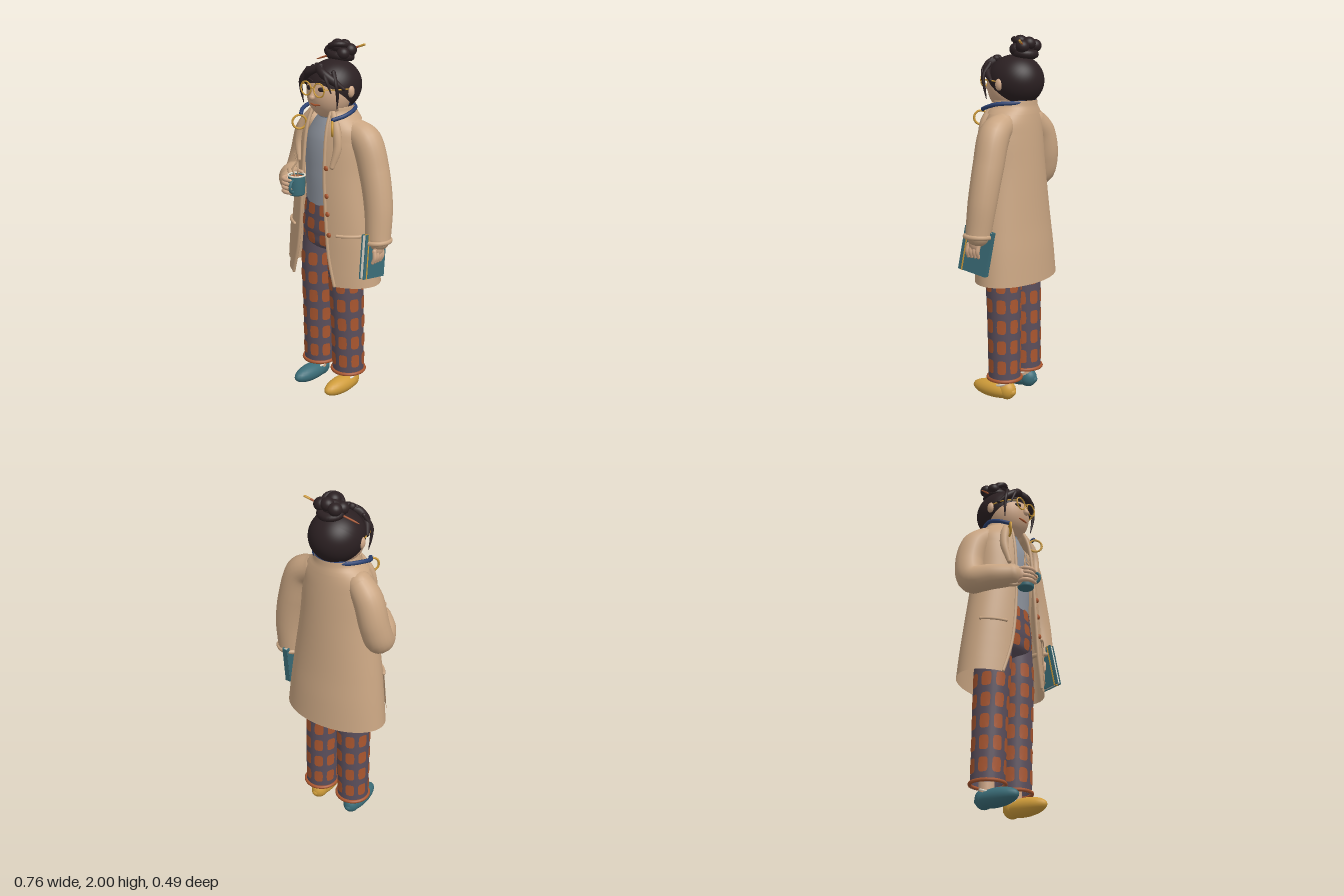
import * as THREE from 'three';
import { mergeGeometries } from 'three/addons/utils/BufferGeometryUtils.js';
import { ParametricGeometry } from 'three/addons/geometries/ParametricGeometry.js';

const mat = (name, color, side = THREE.FrontSide) => {
  const m = new THREE.MeshStandardMaterial({ color, side });
  m.name = name;
  return m;
};
const V = (p) => new THREE.Vector3(p[0], p[1], p[2]);
const CX = -0.04; // body axis

// Elliptical body surface through rows of [y, centreX, centreZ, radiusX, radiusZ, ...extras]
function body(rows) {
  const n = rows[0].length - 1;
  const it = new THREE.CubicInterpolant(new Float32Array(rows.map((r) => r[0])),
    new Float32Array(rows.flatMap((r) => r.slice(1))), n);
  const at = (y) => Array.from(it.evaluate(y));
  const point = (a, y, off = 0, t = new THREE.Vector3()) => {
    const [cx, cz, rx, rz] = at(y);
    return t.set(cx + Math.sin(a) * (rx + off), y, cz + Math.cos(a) * (rz + off));
  };
  return { at, point, y0: rows[0][0], y1: rows[rows.length - 1][0] };
}
// Sheet on a body surface between two angle functions of y
const sheet = (b, a0, a1, y0, y1, off, nu, nv) => new ParametricGeometry((u, v, t) => {
  const y = y0 + (y1 - y0) * v;
  b.point(a0(y) + (a1(y) - a0(y)) * u, y, off, t);
}, nu, nv);
const tubeOf = (b, nu = 32, nv = 24) => sheet(b, () => -Math.PI, () => Math.PI, b.y0, b.y1, 0, nu, nv);

// Rounded limb through [x, y, z, radius] points
function limb(pts, seg = 20, sides = 14) {
  const curve = new THREE.CatmullRomCurve3(pts.map(V));
  const g = new THREE.TubeGeometry(curve, seg, 1, sides);
  const pos = g.attributes.position, p = new THREE.Vector3();
  for (let i = 0; i <= seg; i++) {
    const c = curve.getPointAt(i / seg);
    const t = curve.getUtoTmapping(i / seg) * (pts.length - 1);
    const k = Math.min(Math.floor(t), pts.length - 2);
    const r = THREE.MathUtils.lerp(pts[k][3], pts[k + 1][3], t - k);
    for (let j = 0; j <= sides; j++) {
      const id = i * (sides + 1) + j;
      p.fromBufferAttribute(pos, id).sub(c).multiplyScalar(r).add(c);
      pos.setXYZ(id, p.x, p.y, p.z);
    }
  }
  const ends = [pts[0], pts[pts.length - 1]].map((e) =>
    new THREE.SphereGeometry(e[3], sides, 8).translate(e[0], e[1], e[2]));
  return mergeGeometries([g, ...ends]);
}
const ball = (rx, ry, rz, w = 24, h = 16) => new THREE.SphereGeometry(1, w, h).scale(rx, ry, rz);

// Rounded-square checks laid over a body surface
function checks(b, ys, cols, ha, hy) {
  const list = [], sq = (v) => Math.sign(v) * Math.sqrt(Math.abs(v));
  for (const y of ys) for (let c = 0; c < cols; c++) {
    const g = new THREE.CircleGeometry(1, 16), pos = g.attributes.position;
    for (let i = 0; i < pos.count; i++) {
      const p = b.point(((c + 0.5) / cols) * 2 * Math.PI + sq(pos.getX(i)) * ha, y + sq(pos.getY(i)) * hy, 0.003);
      pos.setXYZ(i, p.x, p.y, p.z);
    }
    g.computeVertexNormals();
    list.push(g);
  }
  return mergeGeometries(list);
}

export function createModel() {
  const D = THREE.DoubleSide;
  const coatM = mat('coat tan', 0xc9a582, D), skin = mat('skin', 0xd0a888), hairM = mat('dark hair', 0x2b2022, D);
  const grey = mat('shirt grey', 0x8e949e), rust = mat('rust', 0xa9562f), plum = mat('plum', 0x5b4f5c, D);
  const teal = mat('teal', 0x3b6d78, D), mustard = mat('mustard', 0xcf9c3a), navy = mat('navy', 0x2c4272);
  const cream = mat('cream', 0xe9e2d2);
  const root = new THREE.Group();
  const add = (name, geo, m, pos = [0, 0, 0], rot = [0, 0, 0], parent = root) => {
    const mesh = new THREE.Mesh(geo, m);
    mesh.name = name;
    mesh.position.set(...pos);
    mesh.rotation.set(...rot);
    parent.add(mesh);
    return mesh;
  };

  // Trousers, cuffs, ankles and odd-coloured shoes
  for (const s of [-1, 1]) {
    const x = (d) => CX + s * d;
    const leg = body([[0.12, x(0.111), -0.055, 0.09, 0.088], [0.5, x(0.106), -0.048, 0.093, 0.094],
      [0.75, x(0.1), -0.04, 0.097, 0.1], [0.96, x(0.085), -0.04, 0.09, 0.1]]);
    add('trouserLeg', tubeOf(leg), plum);
    add('legChecks', checks(leg, [0.21, 0.325, 0.44, 0.555, 0.67, 0.785], 8, 0.27, 0.039), rust);
    add('trouserCuff', new THREE.TorusGeometry(0.092, 0.01, 8, 32), rust, [x(0.111), 0.13, -0.055], [Math.PI / 2, 0, 0]);
    add('ankle', new THREE.CylinderGeometry(0.04, 0.042, 0.16, 16), skin, [x(0.113), 0.14, -0.06]);
    const shoe = s < 0 ? teal : mustard;
    add('shoe', ball(0.053, 0.05, 0.138), shoe, [x(0.117), 0.05, 0.007]);
    add('shoeHeel', ball(0.046, 0.055, 0.055), shoe, [x(0.115), 0.056, -0.07]);
    add('shoeTrim', new THREE.TorusGeometry(0.042, 0.006, 6, 24), cream, [x(0.114), 0.09, -0.05], [Math.PI / 2 + 0.35, 0, 0]);
  }
  const hips = body([[0.84, CX, -0.045, 0.05, 0.03], [0.87, CX, -0.04, 0.14, 0.095], [0.95, CX, -0.04, 0.185, 0.122],
    [1.05, CX, -0.04, 0.175, 0.122], [1.15, CX, -0.04, 0.158, 0.115]]);
  add('hips', tubeOf(hips), plum);
  add('hipChecks', checks(hips, [0.925, 1.01, 1.095], 12, 0.17, 0.032), rust);

  // Shirt, rolled collar and neck
  add('shirt', tubeOf(body([[1.12, CX, -0.04, 0.155, 0.118], [1.3, CX, -0.04, 0.16, 0.122], [1.48, CX, -0.045, 0.16, 0.115],
    [1.56, CX, -0.05, 0.12, 0.095], [1.62, CX, -0.05, 0.07, 0.07]])), grey);
  add('shirtCollar', new THREE.TorusGeometry(0.062, 0.016, 10, 32), grey, [CX, 1.605, -0.045], [Math.PI / 2, 0, 0]);
  add('neck', new THREE.CylinderGeometry(0.055, 0.06, 0.14, 20), skin, [CX, 1.62, -0.045]);

  // Open coat; the last two numbers of each row are the x of its front edges
  const coat = body([
    [0.69, CX, -0.06, 0.302, 0.185, -0.215, 0.105], [0.85, CX, -0.055, 0.285, 0.178, -0.165, 0.07],
    [1.0, CX, -0.048, 0.266, 0.17, -0.14, 0.055], [1.3, CX, -0.04, 0.222, 0.155, -0.12, 0.035],
    [1.48, CX, -0.04, 0.205, 0.14, -0.115, 0.03], [1.55, CX, -0.042, 0.19, 0.13, -0.112, 0.028],
    [1.6, CX, -0.046, 0.15, 0.118, -0.11, 0.026], [1.63, CX, -0.05, 0.118, 0.108, -0.105, 0.025], [1.66, CX, -0.05, 0.11, 0.105, -0.105, 0.025]]);
  const edge = (k) => (y) => {
    const r = coat.at(y);
    return Math.asin((r[k] - r[0]) / r[2]);
  };
  const left = edge(5), right = edge(4);
  add('coatBody', sheet(coat, left, (y) => 2 * Math.PI + right(y), 0.69, 1.66, 0, 56, 48), coatM);
  add('coatCollar', sheet(coat, (y) => left(y) + 0.3, (y) => 2 * Math.PI + right(y) - 0.3, 1.59, 1.66, 0.012, 40, 6), coatM);
  for (const [s, e] of [[-1, right], [1, left]]) {
    const path = [];
    for (let i = 0; i <= 12; i++) path.push([...coat.point(e(0.695 + i * 0.08), 0.695 + i * 0.08), 0.009]);
    add('coatEdge', limb(path, 48, 8), coatM);
    add('lapel', limb([1.63, 1.55, 1.46, 1.36].map((y, i) =>
      [...coat.point(e(y) + s * [0.1, 0.32, 0.36, 0.22][i], y, 0.004), [0.016, 0.024, 0.024, 0.014][i]]), 20, 10), coatM);
    // Patch pocket with rolled top
    const a = s * 0.93;
    add('pocket', sheet(coat, () => a - 0.32, () => a + 0.32, 0.76, 0.985, 0.008, 12, 8), coatM);
    add('pocketTrim', limb([-0.32, -0.16, 0, 0.16, 0.32].map((d) => [...coat.point(a + d, 0.985, 0.006), 0.009]), 16, 8), coatM);
  }
  for (const y of [1.35, 1.2, 1.1, 0.985])
    add('button', ball(0.014, 0.014, 0.008, 14, 10), rust, [...coat.point(left(y) + 0.06, y, 0.008)]);

  // Sleeves
  add('rightSleeve', limb([[-0.19, 1.535, -0.07, 0.07], [-0.25, 1.47, -0.085, 0.08], [-0.292, 1.33, -0.085, 0.08],
    [-0.302, 1.235, -0.05, 0.079], [-0.26, 1.235, 0.05, 0.07], [-0.195, 1.245, 0.13, 0.058]], 36, 20), coatM);
  add('rightCuff', new THREE.TorusGeometry(0.055, 0.013, 8, 28), coatM, [-0.192, 1.246, 0.135], [0, -0.67, 0]);
  add('leftSleeve', limb([[0.1, 1.535, -0.06, 0.068], [0.18, 1.49, -0.06, 0.085], [0.24, 1.33, -0.06, 0.082],
    [0.28, 1.15, -0.05, 0.077], [0.295, 0.985, -0.033, 0.068]], 32, 20), coatM);
  add('leftCuff', new THREE.TorusGeometry(0.067, 0.013, 8, 28), coatM, [0.295, 0.97, -0.03], [Math.PI / 2, 0.08, 0]);

  // Mug with drink, handle, steam and the hand around it
  const mug = new THREE.Group();
  mug.name = 'mug';
  mug.position.set(-0.112, 1.188, 0.164);
  root.add(mug);
  add('mugBody', new THREE.LatheGeometry([[0, 0], [0.04, 0], [0.045, 0.008], [0.047, 0.108], [0.041, 0.108], [0.04, 0.05]]
    .map((p) => new THREE.Vector2(...p)), 32), teal, [0, 0, 0], [0, 0, 0], mug);
  add('mugRim', new THREE.TorusGeometry(0.045, 0.005, 8, 32), cream, [0, 0.108, 0], [Math.PI / 2, 0, 0], mug);
  add('drink', new THREE.CylinderGeometry(0.041, 0.041, 0.006, 28), rust, [0, 0.095, 0], [0, 0, 0], mug);
  add('mugHandle', new THREE.TorusGeometry(0.031, 0.008, 8, 24), teal, [0.015, 0.055, 0.046], [0, -1.25, 0], mug);
  for (const s of [-1, 1]) add('steam', limb([[s * 0.008, 0.1, 0, 0.004], [s * 0.02, 0.14, 0.01, 0.005],
    [s * 0.004, 0.18, -0.006, 0.004], [s * 0.012, 0.225, 0.004, 0.001]], 16, 6), coatM, [0, 0, 0], [0, 0, 0], mug);
  add('rightPalm', ball(0.026, 0.043, 0.04), skin, [-0.174, 1.243, 0.165]);
  for (let i = 0; i < 4; i++) {
    const y = 1.208 + i * 0.023;
    add('rightFinger', limb([[-0.178, y, 0.16, 0.012], [-0.17, y, 0.205, 0.012], [-0.138, y, 0.222, 0.011], [-0.103, y, 0.22, 0.009]], 12, 10), skin);
  }
  add('rightThumb', limb([[-0.18, 1.26, 0.14, 0.013], [-0.15, 1.3, 0.12, 0.012], [-0.115, 1.302, 0.118, 0.009]], 12, 10), skin);

  // Book and the hand holding it
  const book = new THREE.Group();
  book.name = 'book';
  book.position.set(0.279, 0.887, -0.01);
  book.rotation.set(-0.16, 0, 0.06);
  root.add(book);
  for (const s of [-1, 1]) add('bookCover', new THREE.BoxGeometry(0.006, 0.24, 0.17), teal, [s * 0.013, 0, 0], [0, 0, 0], book);
  add('bookSpine', new THREE.BoxGeometry(0.03, 0.24, 0.006), teal, [0, 0, -0.085], [0, 0, 0], book);
  add('bookPages', new THREE.BoxGeometry(0.021, 0.23, 0.162), cream, [0, 0, -0.001], [0, 0, 0], book);
  add('bookBand', new THREE.BoxGeometry(0.036, 0.242, 0.008), mustard, [0, 0, 0.062], [0, 0, 0], book);
  add('leftPalm', ball(0.024, 0.045, 0.036), skin, [0.308, 0.935, -0.02]);
  for (let i = 0; i < 4; i++) {
    const z = -0.046 + i * 0.021;
    add('leftFinger', limb([[0.312, 0.925, z, 0.012], [0.318, 0.89, z + 0.004, 0.012], [0.306, 0.86, z + 0.006, 0.009]], 10, 10), skin);
  }
  add('leftThumb', limb([[0.29, 0.95, 0.0, 0.012], [0.262, 0.91, 0.01, 0.011], [0.258, 0.875, 0.01, 0.009]], 10, 10), skin);

  // Head and face
  add('head', ball(0.122, 0.142, 0.118, 36, 24), skin, [CX, 1.732, -0.015]);
  add('nose', limb([[CX, 1.755, 0.1, 0.009], [CX, 1.73, 0.112, 0.013], [CX, 1.718, 0.117, 0.016]], 10, 12), skin);
  add('mouth', limb([[-0.07, 1.678, 0.091, 0.004], [CX, 1.674, 0.096, 0.006], [-0.01, 1.678, 0.091, 0.004]], 10, 8), rust);
  for (const s of [-1, 1]) {
    const x = (d) => CX + s * d;
    add('ear', ball(0.017, 0.032, 0.022), skin, [x(0.135), 1.745, -0.035]);
    add('eye', ball(0.02, 0.012, 0.008), hairM, [x(0.045), 1.76, 0.092], [0, s * 0.35, 0]);
    add('brow', limb([[x(0.02), 1.798, 0.092, 0.004], [x(0.045), 1.804, 0.087, 0.005], [x(0.075), 1.795, 0.072, 0.003]], 10, 8), hairM);
    add('lensFrame', new THREE.TorusGeometry(0.036, 0.004, 8, 32), mustard, [x(0.046), 1.76, 0.113]);
    add('templeArm', limb([[x(0.082), 1.765, 0.112, 0.004], [x(0.122), 1.765, 0.06, 0.004], [x(0.138), 1.76, -0.03, 0.004]], 14, 6), mustard);
    // Fringe and loose side strands
    add('fringe', limb([[x(-0.01), 1.872, 0.062, 0.02], [x(0.05), 1.842, 0.084, 0.024], [x(0.1), 1.805, 0.062, 0.022],
      [x(0.132), 1.765, 0.02, 0.01]], 16, 12), hairM);
    add('sideStrand', limb([[x(0.09), 1.85, 0.05, 0.012], [x(0.125), 1.79, 0.068, 0.01], [x(0.128), 1.73, 0.062, 0.008], [x(0.118), 1.665, 0.055, 0.002]], 16, 8), hairM);
    add('frontStrand', limb([[x(0.03), 1.87, 0.075, 0.012], [x(0.08), 1.82, 0.098, 0.011], [x(0.108), 1.75, 0.09, 0.003]], 14, 8), hairM);
    // Neck cord with hanging ring
    add('cord', limb([[CX, 1.655, -0.15, 0.011], [x(0.09), 1.65, -0.12, 0.011], [x(0.15), 1.643, -0.03, 0.011],
      [x(0.145), 1.625, 0.035, 0.011], [x(0.115), 1.61, 0.08, 0.011]], 24, 10), navy);
    add('cordRing', new THREE.TorusGeometry(0.037, 0.006, 8, 28), mustard, [x(0.118), 1.565, 0.09], [0, s * -0.85 + Math.PI, 0]);
  }
  add('glassesBridge', limb([[-0.05, 1.765, 0.114, 0.004], [CX, 1.77, 0.118, 0.004], [-0.03, 1.765, 0.114, 0.004]], 8, 6), mustard);

  // Hair cap tilted back, bun and hair stick
  const cap = add('hairCap', new THREE.SphereGeometry(1, 40, 28, 0, Math.PI * 2, 0, 2.06).rotateX(-0.7).scale(0.143, 0.138, 0.154), hairM, [CX, 1.76, -0.056]);
  cap.geometry.computeVertexNormals();
  for (const [x, y, z, r] of [[-0.05, 1.93, -0.105, 0.052], [-0.088, 1.942, -0.142, 0.036], [-0.04, 1.962, -0.082, 0.038],
    [0.01, 1.94, -0.125, 0.036], [-0.09, 1.93, -0.085, 0.036], [0.0, 1.925, -0.08, 0.035], [-0.04, 1.955, -0.135, 0.036]])
    add('bunCoil', ball(r, r * 0.95, r), hairM, [x, y, z]);
  add('bunBase', new THREE.TorusGeometry(0.052, 0.023, 10, 28), hairM, [-0.042, 1.905, -0.108], [Math.PI / 2 - 0.15, 0, 0]);
  add('bunWrap', new THREE.TorusGeometry(0.045, 0.016, 10, 28), hairM, [-0.04, 1.955, -0.09], [1.2, 0.3, 0]);
  add('hairStick', limb([[-0.194, 1.873, -0.088, 0.002], [-0.17, 1.882, -0.094, 0.005], [0.06, 1.962, -0.145, 0.005]], 12, 8), rust);
  add('hairStickEnd', limb([[0.06, 1.962, -0.145, 0.006], [0.084, 1.972, -0.153, 0.006]], 4, 8), mustard);
  return root;
}
